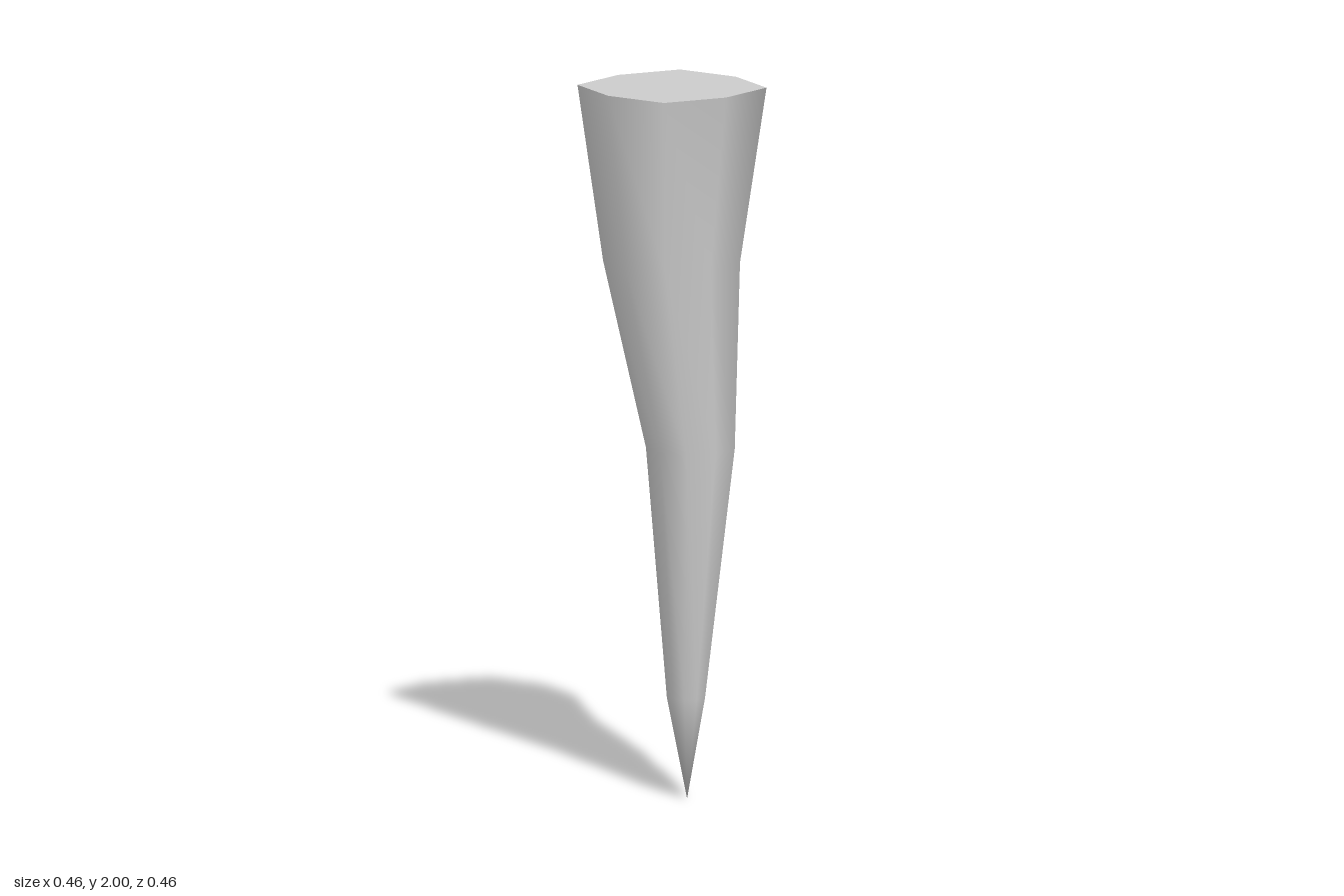
import * as THREE from 'three';

const SIDES = 8;
// Cross-sections from the top down: height, centre x, radius
const rings = [
  [2, 0, 0.232],
  [1.505, -0.002, 0.168],
  [0.99, 0.079, 0.109],
  [0.285, 0.06, 0.047],
  [0, 0.065, 0],
];

// Octagon whose diagonal corners bulge outwards
function corner(j, radius) {
  const a = (j / SIDES) * Math.PI * 2;
  const r = radius * (j % 2 ? 1.135 : 1);
  return [Math.cos(a) * r, Math.sin(a) * r];
}

// Smooth skin running through all cross-sections to the tip
function spikeGeometry() {
  const positions = [], index = [];
  rings.forEach(([y, cx, radius], i) => {
    const last = i === rings.length - 1;
    if (last) {
      positions.push(cx, y, 0);
      return;
    }
    for (let j = 0; j < SIDES; j++) {
      const [x, z] = corner(j, radius);
      positions.push(cx + x, y, z);
      const a = i * SIDES + j;
      const b = i * SIDES + (j + 1) % SIDES;
      if (i === rings.length - 2) index.push(a, b, (i + 1) * SIDES);
      else index.push(a, b, a + SIDES, b, b + SIDES, a + SIDES);
    }
  });
  const geometry = new THREE.BufferGeometry();
  geometry.setAttribute('position', new THREE.Float32BufferAttribute(positions, 3));
  geometry.setIndex(index);
  geometry.computeVertexNormals();
  return geometry;
}

export function createModel() {
  const group = new THREE.Group();
  group.name = 'crookedSpike';
  const material = new THREE.MeshStandardMaterial({ color: 0xcccccc });

  const shaft = new THREE.Mesh(spikeGeometry(), material);
  shaft.name = 'shaft';

  // Flat lid closing the wide end
  const [topY, topX, topRadius] = rings[0];
  const outline = Array.from({ length: SIDES }, (_, j) => new THREE.Vector2(...corner(j, topRadius)));
  const lid = new THREE.Mesh(new THREE.ShapeGeometry(new THREE.Shape(outline)), material);
  lid.name = 'topCap';
  lid.rotation.x = -Math.PI / 2;
  lid.position.set(topX, topY, 0);

  group.add(shaft, lid);
  return group;
}
